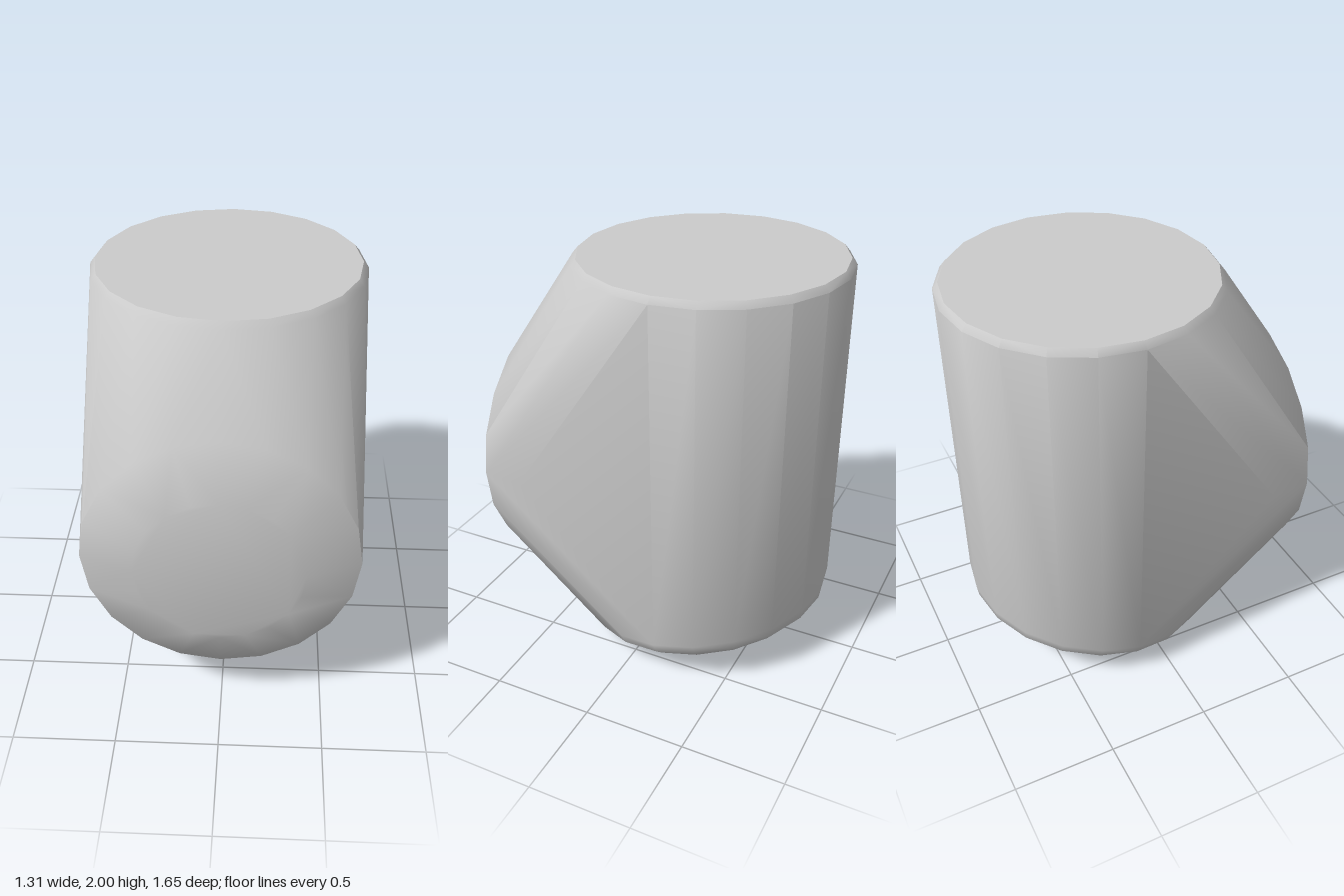
import * as THREE from 'three';
import { ConvexGeometry } from 'three/addons/geometries/ConvexGeometry.js';
import { toCreasedNormals } from 'three/addons/utils/BufferGeometryUtils.js';

const SIDES = 20;

// Circle of points around a centre; u and v span its plane
function ring(cy, cz, r, u, v) {
  const points = [];
  for (let i = 0; i < SIDES; i++) {
    const a = (i / SIDES) * Math.PI * 2;
    points.push(new THREE.Vector3(0, cy, cz)
      .addScaledVector(u, r * Math.cos(a))
      .addScaledVector(v, r * Math.sin(a)));
  }
  return points;
}

export function createModel() {
  const group = new THREE.Group();
  group.name = 'roundedBlock';

  const X = new THREE.Vector3(1, 0, 0);
  const Y = new THREE.Vector3(0, 1, 0);
  const Z = new THREE.Vector3(0, 0, 1);
  const points = [];

  // Flat round top with a small bevel: [radius, height]
  for (const [r, y] of [[0.625, 2], [0.65, 1.97]]) points.push(...ring(y, -0.175, r, X, Z));

  // Round front face, its rim curving back: [radius, z]
  for (const [r, z] of [[0.39, 0.83], [0.64, 0.73], [0.655, 0.53]]) points.push(...ring(0.945, z, r, X, Y));

  // Tilted round base with a soft edge: [radius, height along its own axis]
  const tilt = 0.169;
  const up = new THREE.Vector3(0, Math.cos(tilt), Math.sin(tilt));
  const forward = new THREE.Vector3(0, -Math.sin(tilt), Math.cos(tilt));
  for (const [r, h] of [[0.49, 0], [0.58, 0.03], [0.625, 0.07], [0.642, 0.12]]) {
    points.push(...ring(0.083 + up.y * h, -0.195 + up.z * h, r, X, forward));
  }

  // One convex skin wraps the three round ends
  const geometry = toCreasedNormals(new ConvexGeometry(points), 0.7);
  const body = new THREE.Mesh(geometry, new THREE.MeshStandardMaterial({ color: 0xcccccc }));
  body.name = 'body';
  group.add(body);
  return group;
}
